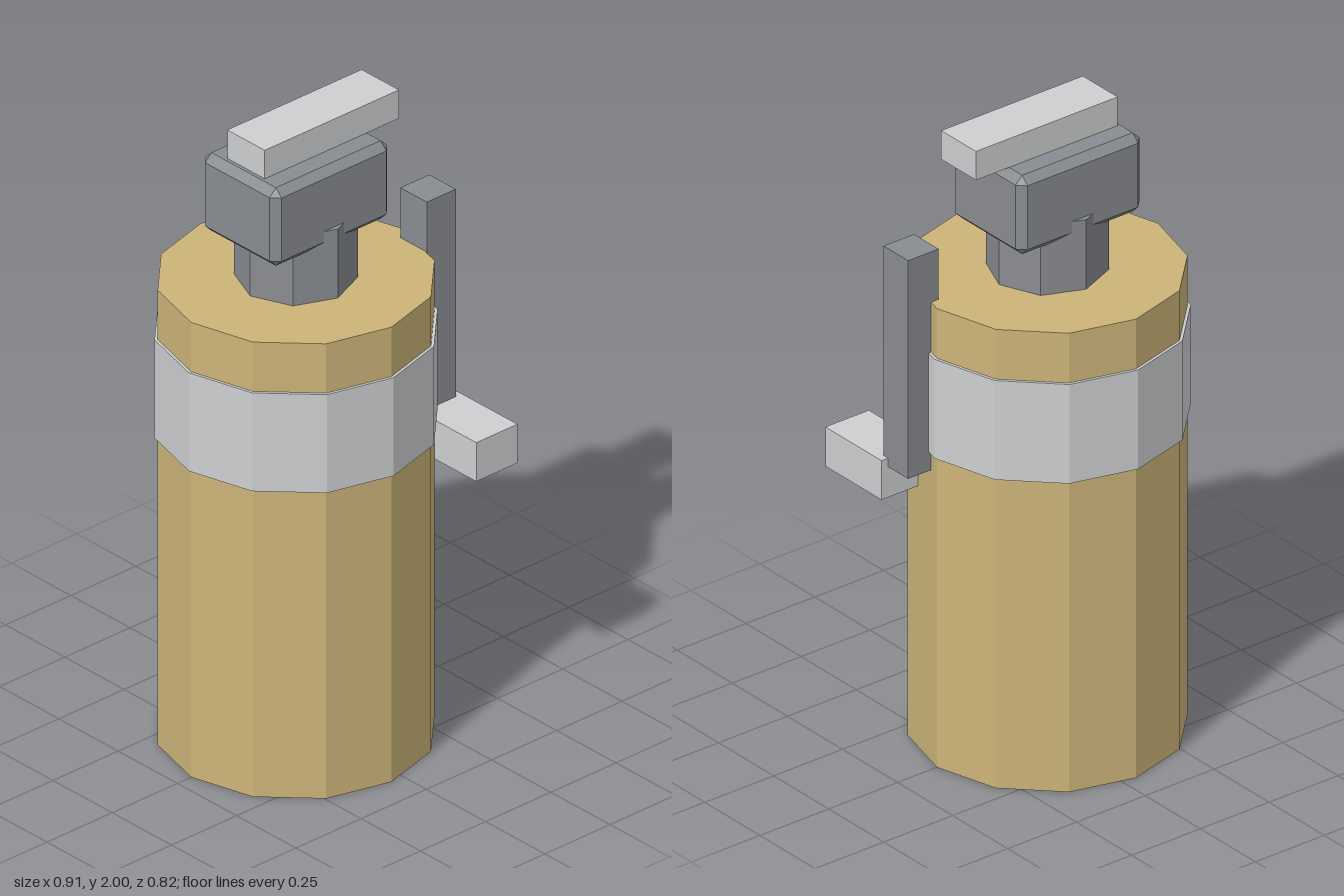
import * as THREE from 'three';
import { ConvexGeometry } from 'three/addons/geometries/ConvexGeometry.js';

const material = (name, color) => {
  const m = new THREE.MeshStandardMaterial({ color, flatShading: true });
  m.name = name;
  return m;
};

// Box with every edge and corner cut off at 45 degrees
function chamferedBox(w, h, d, c) {
  const points = [];
  for (const x of [-w / 2, w / 2])
    for (const y of [-h / 2, h / 2])
      for (const z of [-d / 2, d / 2]) {
        const sx = Math.sign(x) * c, sy = Math.sign(y) * c, sz = Math.sign(z) * c;
        points.push(
          new THREE.Vector3(x, y - sy, z - sz),
          new THREE.Vector3(x - sx, y, z - sz),
          new THREE.Vector3(x - sx, y - sy, z)
        );
      }
  return new ConvexGeometry(points);
}

export function createModel() {
  const model = new THREE.Group();
  model.name = 'canister';
  const tan = material('tan', 0xccb479);
  const silver = material('silver', 0xcdcfd0);
  const steel = material('steel', 0x898c91);
  const axisX = -0.045;

  const add = (name, geometry, mat, x, y, z) => {
    const mesh = new THREE.Mesh(geometry, mat);
    mesh.name = name;
    mesh.position.set(x, y, z);
    model.add(mesh);
  };
  // Upright prism on the canister axis, between two heights
  const prism = (name, mat, r, y0, y1, sides) =>
    add(name, new THREE.CylinderGeometry(r, r, y1 - y0, sides), mat, axisX, (y0 + y1) / 2, 0);
  // Box given by its limits on each axis
  const box = (name, mat, [x0, x1], [y0, y1], [z0, z1]) =>
    add(name, new THREE.BoxGeometry(x1 - x0, y1 - y0, z1 - z0), mat,
      (x0 + x1) / 2, (y0 + y1) / 2, (z0 + z1) / 2);

  // Canister
  prism('body', tan, 0.402, 0, 1.485, 12);
  prism('band', silver, 0.411, 1.003, 1.324, 12);

  // Valve
  prism('neck', steel, 0.176, 1.475, 1.71, 8);
  add('valveHead', chamferedBox(0.45, 0.255, 0.32, 0.024), steel, axisX, 1.778, 0);
  box('topLever', silver, [-0.237, 0.278], [1.907, 2], [-0.079, 0.079]);

  // Side arm with its foot
  box('sideArm', steel, [0.319, 0.43], [0.942, 1.648], [0.039, 0.151]);
  box('armFoot', silver, [0.296, 0.454], [0.843, 0.97], [0.13, 0.385]);

  return model;
}
